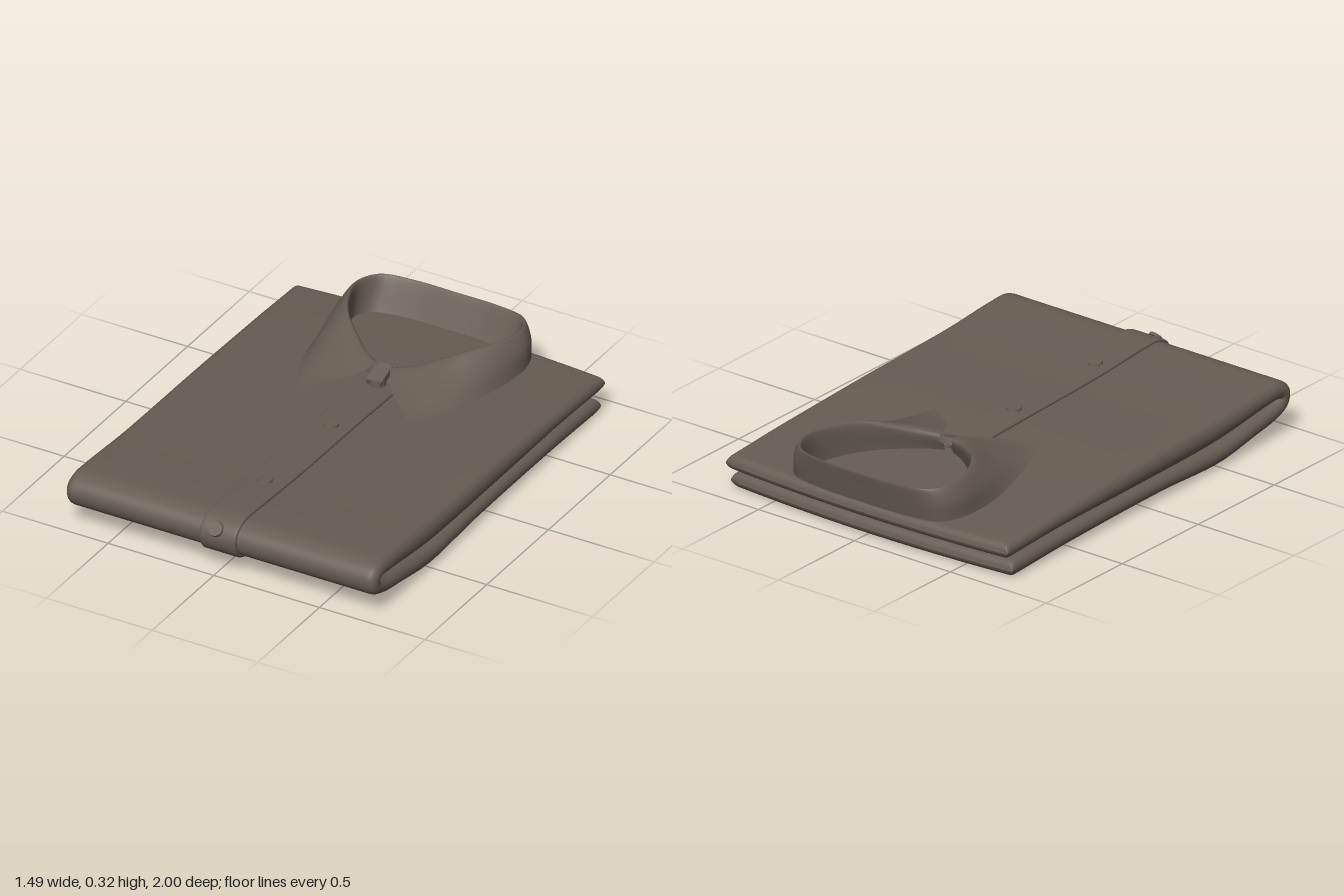
import * as THREE from 'three';

const cloth = new THREE.MeshStandardMaterial({ color: 0x665c52, side: THREE.DoubleSide });
cloth.name = 'brown cloth';

// Centre line of the folded body, back of top layer to back of bottom layer: [z, y, half thickness]
const FOLD = [
  [-0.935, 0.133, 0.034], [-0.6, 0.148, 0.038], [-0.1, 0.159, 0.049], [0.5, 0.172, 0.052],
  [0.82, 0.2, 0.043], [0.905, 0.201, 0.041], [0.94, 0.18, 0.04], [0.935, 0.146, 0.038],
  [0.88, 0.117, 0.036], [0.72, 0.088, 0.038], [0.5, 0.058, 0.042], [0.1, 0.065, 0.036],
  [-0.5, 0.058, 0.036], [-0.9, 0.043, 0.035],
];

// Sample the centre line into stations with an outward normal
function foldStations(count) {
  const curve = new THREE.CatmullRomCurve3(FOLD.map(([z, y, t]) => new THREE.Vector3(t, y, z)));
  const list = [];
  for (let i = 0; i <= count; i++) {
    const p = curve.getPoint(i / count);
    const d = curve.getTangent(i / count).setX(0).normalize();
    list.push({ y: p.y, z: p.z, t: p.x, d, n: new THREE.Vector3(0, d.z, -d.y) });
  }
  return list;
}

// Grid of points to a smooth surface
function gridGeometry(rows, closed) {
  const m = rows[0].length, pos = [], index = [];
  rows.forEach(r => r.forEach(p => pos.push(p.x, p.y, p.z)));
  for (let i = 0; i < rows.length - 1; i++) {
    for (let j = 0; j < (closed ? m : m - 1); j++) {
      const k = (j + 1) % m;
      const a = i * m + j, b = i * m + k, c = a + m, d = b + m;
      index.push(a, c, b, b, c, d);
    }
  }
  const g = new THREE.BufferGeometry();
  g.setAttribute('position', new THREE.Float32BufferAttribute(pos, 3));
  g.setIndex(index);
  g.computeVertexNormals();
  return g;
}

// Sweep a flat, round-edged section along stations, closing both ends with a rounded edge
function sweep(stations, halfWidth, bend) {
  const caps = (s, sign) => [1.45, 1.2, 0.9, 0.6, 0.3].map(a => ({
    ...s, t: s.t * Math.cos(a),
    y: s.y + sign * s.d.y * s.t * Math.sin(a), z: s.z + sign * s.d.z * s.t * Math.sin(a),
  }));
  const all = [...caps(stations[0], -1), ...stations, ...caps(stations.at(-1), 1).reverse()];
  const rows = all.map(({ y, z, t, n }) => {
    const flat = halfWidth - Math.min(0.04, t), section = [];
    for (const side of [1, -1]) {
      for (let k = 0; k < 12; k++) section.push([side * flat * (k / 6 - 1), side]);
      for (let k = 0; k < 8; k++) {
        const a = (k / 8) * Math.PI;
        section.push([side * (flat + (halfWidth - flat) * Math.sin(a)), side * Math.cos(a)]);
      }
    }
    return section.map(([x, h]) => {
      const pz = z + n.z * t * h;
      const back = THREE.MathUtils.smoothstep(-z, 0.5, 0.95) * bend * (x / halfWidth) ** 2;
      return new THREE.Vector3(x + 0.012 * pz, y + n.y * t * h, pz + back);
    });
  });
  return gridGeometry(rows, true);
}

// Collar, from the back centre to the front: [band foot, fold line, leaf edge, optional leaf middle]
const COLLAR = [
  [[0, 0.175, -0.91], [0, 0.31, -0.99], [0, 0.17, -0.965]],
  [[0.2, 0.175, -0.905], [0.2, 0.312, -0.985], [0.22, 0.17, -0.96]],
  [[0.34, 0.175, -0.87], [0.335, 0.318, -0.95], [0.38, 0.175, -0.93]],
  [[0.375, 0.178, -0.8], [0.385, 0.324, -0.85], [0.432, 0.18, -0.83]],
  [[0.335, 0.18, -0.68], [0.355, 0.328, -0.72], [0.435, 0.183, -0.68]],
  [[0.265, 0.183, -0.57], [0.285, 0.325, -0.6], [0.41, 0.192, -0.52]],
  [[0.18, 0.186, -0.49], [0.2, 0.302, -0.52], [0.365, 0.203, -0.36]],
  [[0.1, 0.19, -0.43], [0.11, 0.276, -0.45], [0.32, 0.21, -0.24]],
  [[0.02, 0.19, -0.39], [0.022, 0.262, -0.41], [0.277, 0.216, -0.13], [0.1, 0.248, -0.285]],
];

function collarGeometry() {
  const half = COLLAR.map(s => {
    const [foot, fold, edge] = s.map(p => new THREE.Vector3(...p));
    const middle = s[3] ? new THREE.Vector3(...s[3])
      : fold.clone().lerp(edge, 0.5).add(new THREE.Vector3(edge.x * 0.03, 0.014, -0.004));
    return [foot, fold, middle, edge];
  });
  const flip = s => s.map(p => new THREE.Vector3(-p.x, p.y, p.z));
  const ring = [...half.slice(1).reverse().map(flip), ...half];
  const lines = [0, 1, 2, 3].map(k => new THREE.CatmullRomCurve3(ring.map(s => s[k])));
  const rows = [];
  for (let i = 0; i <= 80; i++) {
    const across = new THREE.CatmullRomCurve3(lines.map(l => l.getPoint(i / 80)));
    rows.push(across.getPoints(24));
  }
  return gridGeometry(rows, false);
}

export function createModel() {
  const shirt = new THREE.Group();
  shirt.name = 'foldedShirt';
  const add = (name, geometry) => {
    const mesh = new THREE.Mesh(geometry, cloth);
    mesh.name = name;
    shirt.add(mesh);
    return mesh;
  };

  // Body folded in half
  const stations = foldStations(104);
  add('foldedBody', sweep(stations, 0.735, 0.035));

  // Button strip wrapping over the front fold
  const strip = stations
    .filter((s, i) => (i < 52 ? s.z > -0.36 : s.z > 0.52))
    .map(s => ({ ...s, y: s.y + s.n.y * (s.t + 0.004), z: s.z + s.n.z * (s.t + 0.004), t: 0.009 }));
  add('buttonStrip', sweep(strip, 0.085, 0));

  // Buttons sit on the strip, facing outward
  for (const [z, y] of [[0.03, 0.22], [0.57, 0.24], [0.985, 0.215]]) {
    const s = strip.reduce((a, b) =>
      Math.hypot(a.z - z, a.y - y) < Math.hypot(b.z - z, b.y - y) ? a : b);
    const button = add('button', new THREE.CylinderGeometry(0.03, 0.033, 0.014, 24));
    button.position.set(0, s.y, s.z).addScaledVector(s.n, 0.012);
    button.quaternion.setFromUnitVectors(new THREE.Vector3(0, 1, 0), s.n);
  }

  // Collar with pointed leaves
  add('collar', collarGeometry()).position.x = -0.012;

  // Overlapping band end closing the collar
  const tab = new THREE.Shape();
  tab.moveTo(-0.035, -0.05).lineTo(0.035, -0.05).lineTo(0.035, 0.05)
    .quadraticCurveTo(0, 0.062, -0.035, 0.05).closePath();
  const band = add('collarBandEnd', new THREE.ExtrudeGeometry(tab, { depth: 0.03, bevelEnabled: false }));
  band.rotation.x = -Math.PI / 2 + 0.35;
  band.position.set(-0.015, 0.225, -0.375);
  const collarButton = add('collarButton', new THREE.CylinderGeometry(0.032, 0.034, 0.03, 24));
  collarButton.position.set(-0.01, 0.225, -0.345);

  return shirt;
}
